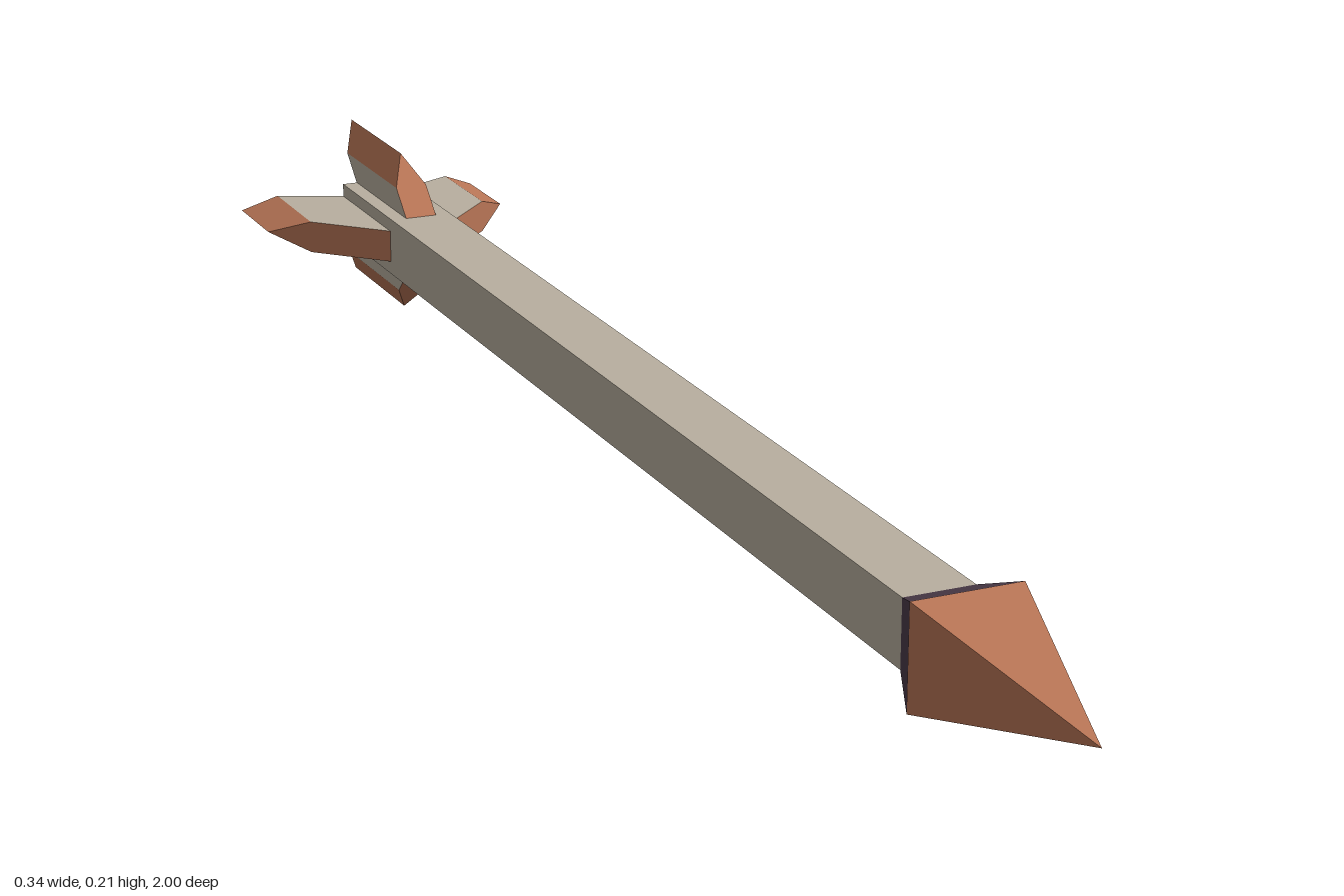
import * as THREE from 'three';

const mat = (name, color) => {
  const m = new THREE.MeshStandardMaterial({ color, flatShading: true });
  m.name = name;
  return m;
};

const CENTER_Y = 0.108;

// Square bar or taper along z, slightly wider than tall
function squareTaper(name, frontHalf, backHalf, zFront, zBack, material) {
  const len = zFront - zBack;
  const geo = new THREE.CylinderGeometry(frontHalf * Math.SQRT2, backHalf * Math.SQRT2, len, 4);
  geo.rotateY(Math.PI / 4).rotateX(Math.PI / 2).scale(1, 0.93, 1);
  geo.translate(0, CENTER_Y, zFront - len / 2);
  const mesh = new THREE.Mesh(geo, material);
  mesh.name = name;
  return mesh;
}

// Flat-faced geometry from convex polygons
function polygons(faces) {
  const pos = [];
  for (const f of faces)
    for (let i = 1; i < f.length - 1; i++) pos.push(...f[0], ...f[i], ...f[i + 1]);
  const geo = new THREE.BufferGeometry();
  geo.setAttribute('position', new THREE.Float32BufferAttribute(pos, 3));
  geo.computeVertexNormals();
  return geo;
}

// Swept fin pointing along +x, with pale sides and a coloured rim and wedge tip
function fin(name, { spans, lead, trail }, pale, rim) {
  const t = 0.021;
  const [s0, s1, s2] = spans;
  const at = ([a, b], s) => a + ((b - a) * (s - s0)) / (s2 - s0);
  const edge = (e) => ({
    rootUp: [s0, t, at(e, s0)], rootDown: [s0, -t, at(e, s0)],
    midUp: [s1, t, at(e, s1)], midDown: [s1, -t, at(e, s1)],
    tip: [s2, 0, at(e, s2)],
  });
  const L = edge(lead), T = edge(trail);
  const sides = new THREE.Mesh(polygons([
    [L.rootUp, L.midUp, T.midUp, T.rootUp],
    [T.rootDown, T.midDown, L.midDown, L.rootDown],
  ]), pale);
  sides.name = name + 'Sides';
  const border = new THREE.Mesh(polygons([
    [L.midUp, L.tip, T.tip, T.midUp],
    [T.midDown, T.tip, L.tip, L.midDown],
    [L.rootDown, L.midDown, L.tip, L.midUp, L.rootUp],
    [T.rootUp, T.midUp, T.tip, T.midDown, T.rootDown],
  ]), rim);
  border.name = name + 'Rim';
  const g = new THREE.Group();
  g.name = name;
  g.add(sides, border);
  g.position.y = CENTER_Y;
  return g;
}

export function createModel() {
  const shaftMat = mat('paleGrey', 0xb8af9f);
  const copper = mat('copper', 0xb87556);
  const collarMat = mat('darkPurple', 0x4b3a48);

  const model = new THREE.Group();
  model.name = 'arrow';

  // Shaft, collar and pointed head
  model.add(
    squareTaper('shaft', 0.041, 0.041, 0.7, -0.925, shaftMat),
    squareTaper('collar', 0.063, 0.041, 0.75, 0.695, collarMat),
    squareTaper('head', 0, 0.063, 1, 0.75, copper),
  );

  // Four tail fins: the side pair is wider than the upright pair
  const wide = { spans: [0.04, 0.123, 0.168], lead: [-0.738, -0.87], trail: [-0.925, -0.985] };
  const short = { spans: [0.037, 0.071, 0.107], lead: [-0.73, -0.805], trail: [-0.925, -1] };
  [['leftFin', wide], ['topFin', short], ['rightFin', wide], ['bottomFin', short]].forEach(([name, size], i) => {
    const f = fin(name, size, shaftMat, copper);
    f.rotation.z = (i * Math.PI) / 2;
    model.add(f);
  });

  return model;
}
